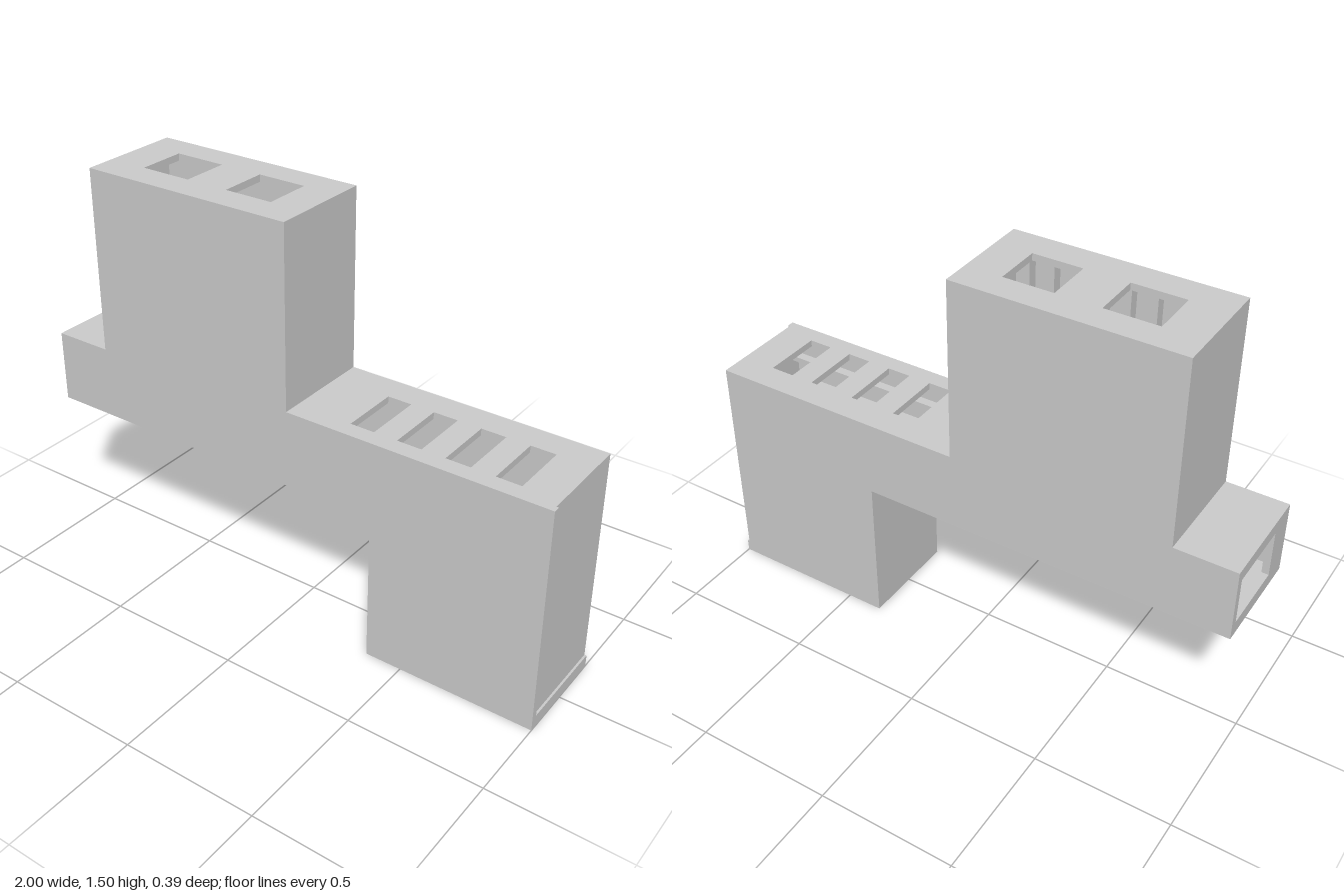
import * as THREE from 'three';

const Z = 0.193;        // half depth
const T = 0.025;        // wall thickness
const IN = Z - T;       // half depth inside
const mat = new THREE.MeshStandardMaterial({ color: 0xcccccc, flatShading: true });

function add(parent, name, geo) {
  const mesh = new THREE.Mesh(geo, mat);
  mesh.name = name;
  parent.add(mesh);
  return mesh;
}

// Box given by its limits on each axis
function box(parent, name, x0, x1, y0, y1, z0 = -IN, z1 = IN) {
  const geo = new THREE.BoxGeometry(x1 - x0, y1 - y0, z1 - z0);
  geo.translate((x0 + x1) / 2, (y0 + y1) / 2, (z0 + z1) / 2);
  return add(parent, name, geo);
}

// Flat plate with rectangular holes, each [u0, u1, v0, v1]
function plate(u0, u1, v0, v1, holes) {
  const corners = (a, b, c, d) => [[a, c], [b, c], [b, d], [a, d]].map(p => new THREE.Vector2(...p));
  const shape = new THREE.Shape(corners(u0, u1, v0, v1));
  for (const h of holes) shape.holes.push(new THREE.Path(corners(...h).reverse()));
  return new THREE.ExtrudeGeometry(shape, { depth: T, bevelEnabled: false });
}

// Roof with holes, each [x0, x1, z0, z1]
function roof(parent, name, x0, x1, top, holes) {
  const geo = plate(x0, x1, -IN, IN, holes.map(([a, b, c, d]) => [a, b, -d, -c]));
  geo.rotateX(-Math.PI / 2).translate(0, top - T, 0);
  return add(parent, name, geo);
}

// Stepped side wall
function sideWall(parent, name, z, xEnd) {
  const outline = [[-1, 0.56], [0.363, 0.56], [0.363, 0], [xEnd, 0], [xEnd, 0.845], [0.028, 0.845],
    [0.028, 1.505], [-0.78, 1.505], [-0.78, 0.828], [-1, 0.828]];
  const shape = new THREE.Shape(outline.map(p => new THREE.Vector2(...p)));
  const geo = new THREE.ExtrudeGeometry(shape, { depth: T, bevelEnabled: false });
  geo.translate(0, 0, z);
  return add(parent, name, geo);
}

export function createModel() {
  const group = new THREE.Group();
  group.name = 'hollowSteppedBody';

  sideWall(group, 'frontWall', IN, 1);
  sideWall(group, 'backWall', -Z, 0.992);

  // Roofs and their openings
  const towerHoles = [[-0.635, -0.445], [-0.285, -0.105]].map(([a, b]) => [a, b, -0.09, 0.085]);
  const slots = [0.24, 0.417, 0.594, 0.77].map(x => [x, x + 0.09, -0.09, 0.13]);
  roof(group, 'towerRoof', -0.78, 0.028, 1.505, towerHoles);
  roof(group, 'slottedRoof', 0.028 - T, 0.992, 0.845, slots);
  roof(group, 'lowRoof', -1, -0.78 + T, 0.828, []);

  // Tower end walls, floors and leg walls
  box(group, 'towerRightWall', -0.78, -0.78 + T, 0.828, 1.505 - T);
  box(group, 'towerLeftWall', 0.028 - T, 0.028, 0.845, 1.505 - T);
  box(group, 'corridorFloor', -1, 0.363, 0.56, 0.56 + T);
  box(group, 'legInnerWall', 0.363, 0.363 + T, 0, 0.56 + T);
  box(group, 'legFloor', 0.363 + T, 0.992 - T, 0, T);

  // Inset end panel with its bottom lip
  box(group, 'endPanel', 0.992 - T, 0.992, 0, 0.845 - T);
  box(group, 'endLip', 0.992, 1, 0, 0.045, -Z, IN);

  // Open end of the corridor
  const end = plate(-IN, IN, 0.56 + T, 0.828 - T, [[-0.165, 0.09, 0.61, 0.782]]);
  end.rotateY(-Math.PI / 2).translate(-1 + T, 0, 0);
  add(group, 'corridorEnd', end);

  // Upright ribs inside the tower, ledges inside the leg
  for (let i = 0; i < 8; i++) {
    const x = -0.7 + i * 0.09;
    box(group, 'towerRib', x, x + 0.025, 0.86, 1.505 - T, 0.13, IN);
  }
  for (const y of [0.62, 0.72]) box(group, 'legLedge', 0.15, 0.992 - T, y, y + 0.02, 0.135, IN);

  return group;
}
